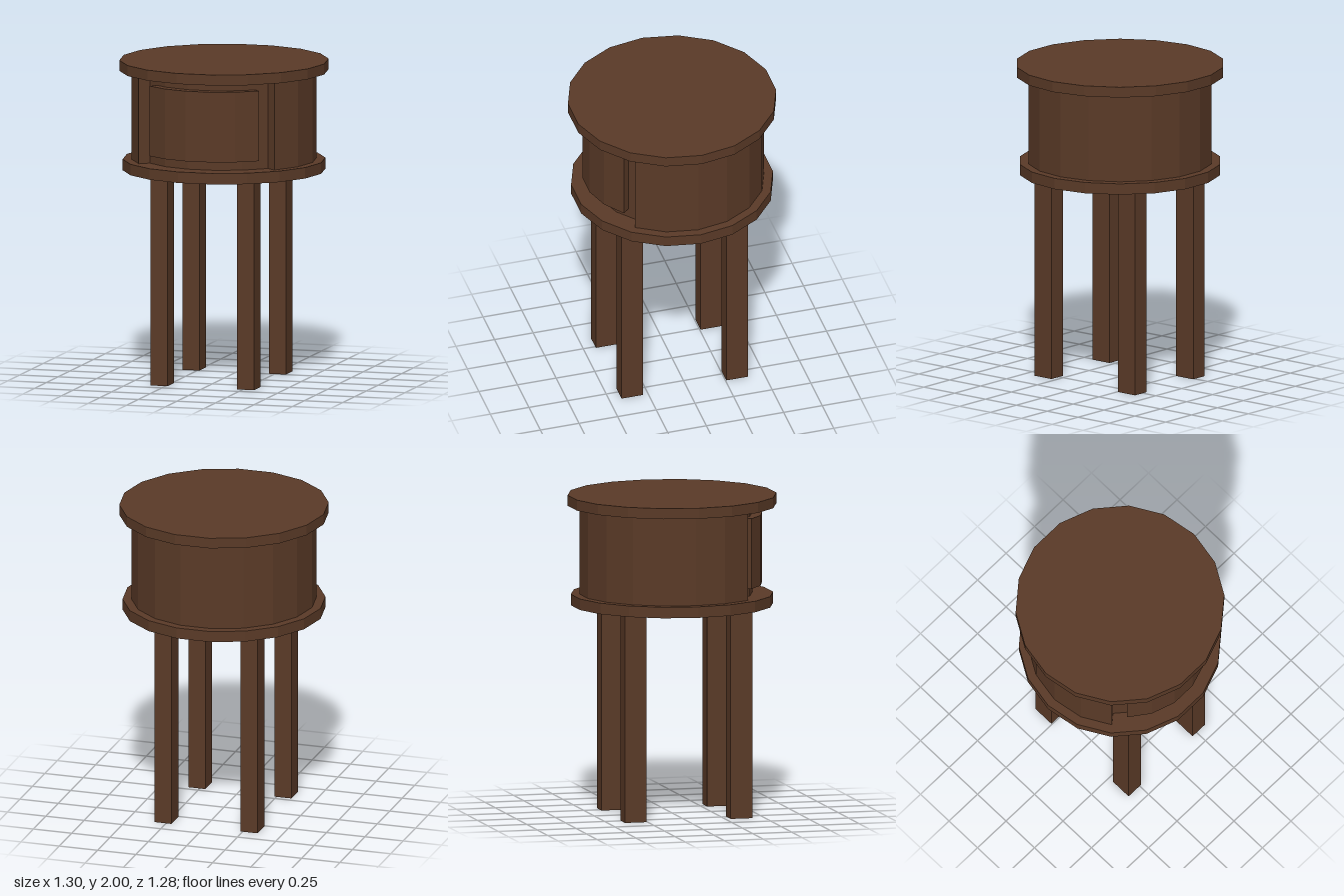
import * as THREE from 'three';

const DEG = Math.PI / 180;

// Points along a circle in plan, angle measured from +x towards -y of the shape (the front)
function arc(radius, from, to, steps) {
  const pts = [];
  for (let i = 0; i <= steps; i++) {
    const a = (from + ((to - from) * i) / steps) * DEG;
    pts.push(new THREE.Vector2(radius * Math.cos(a), radius * Math.sin(a)));
  }
  return pts;
}

// Upright curved slab between two radii; the front lies at -90 degrees
function curvedSlab(outer, inner, from, to, steps, y0, y1) {
  const shape = new THREE.Shape([...arc(outer, from, to, steps), ...arc(inner, to, from, steps)]);
  const geo = new THREE.ExtrudeGeometry(shape, { depth: y1 - y0, bevelEnabled: false });
  geo.rotateX(-Math.PI / 2);
  geo.translate(0, y0, 0);
  return geo;
}

// 18-sided disc with corners on the x axis
function disc(radius, y0, y1) {
  const geo = new THREE.CylinderGeometry(radius, radius, y1 - y0, 18, 1, false, 10 * DEG);
  geo.translate(0, (y0 + y1) / 2, 0);
  return geo;
}

export function createModel() {
  const group = new THREE.Group();
  const wood = new THREE.MeshStandardMaterial({ color: 0x5a3a27, flatShading: true });
  wood.name = 'dark wood';

  const add = (name, geo, x = 0, y = 0, z = 0) => {
    const mesh = new THREE.Mesh(geo, wood);
    mesh.name = name;
    mesh.position.set(x, y, z);
    group.add(mesh);
  };

  // Top and base boards
  add('tableTop', disc(0.65, 1.934, 2));
  add('baseBoard', disc(0.63, 1.31, 1.379));

  // Round cabinet, open at the front, around a recessed core
  add('cabinetWall', curvedSlab(0.575, 0.49, -40, 220, 13, 1.379, 1.934));
  add('cabinetCore', disc(0.5, 1.379, 1.934));

  // Curved drawer front, pulled slightly forward
  add('drawerFront', curvedSlab(0.503, 0.441, -135, -45, 5, 1.438, 1.878), 0, 0, 0.06);

  // Four straight legs
  for (const x of [-0.292, 0.269]) {
    for (const z of [0.353, -0.325]) {
      add('leg', new THREE.BoxGeometry(0.11, 1.31, 0.139), x, 0.655, z);
    }
  }
  return group;
}
